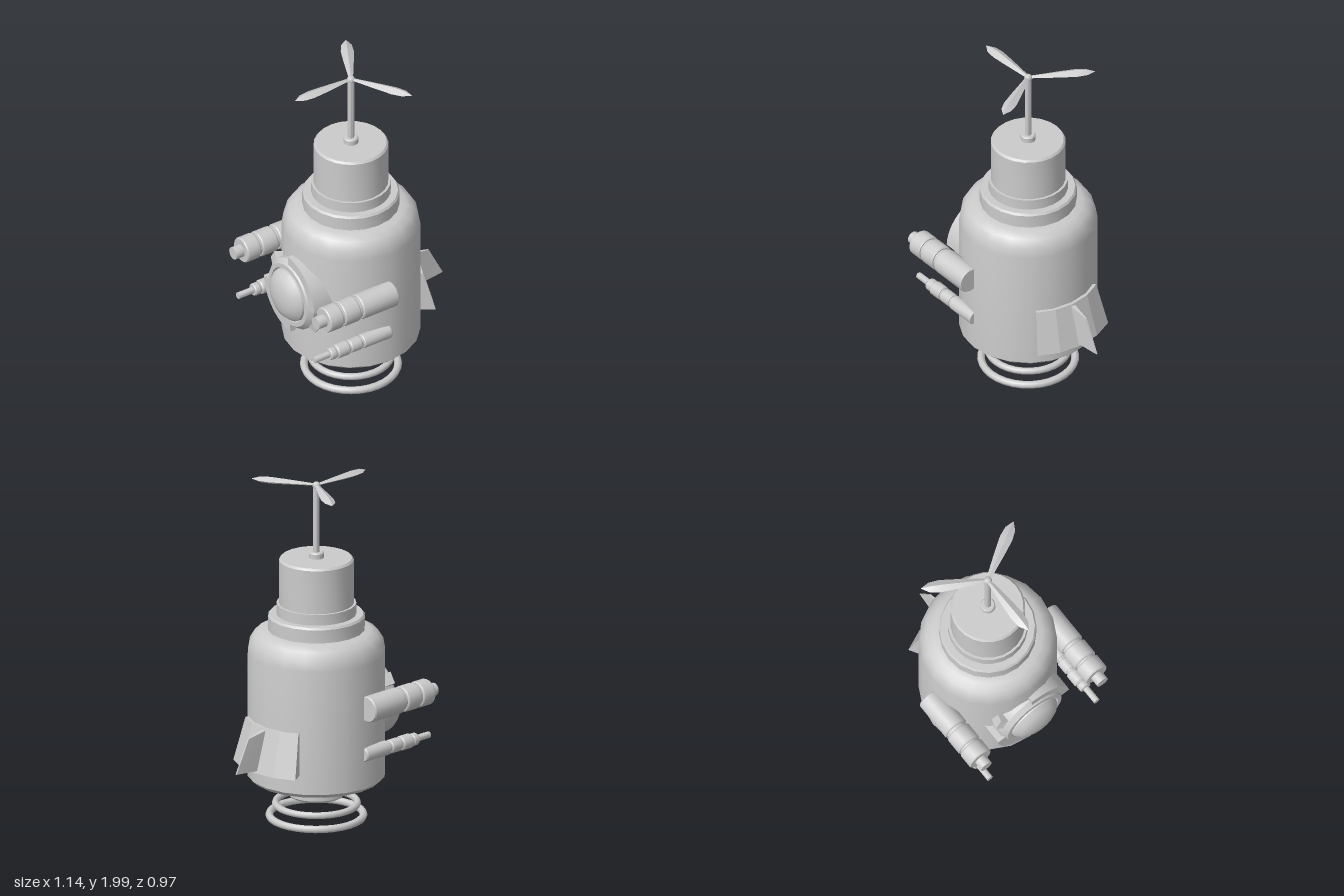
import * as THREE from 'three';
import { toCreasedNormals } from 'three/addons/utils/BufferGeometryUtils.js';

const grey = new THREE.MeshStandardMaterial({ color: 0xcccccc });
const AXIS = -0.05; // x of the vertical body axis

function part(parent, name, geometry, crease = 0.6) {
  const mesh = new THREE.Mesh(toCreasedNormals(geometry, crease), grey);
  mesh.name = name;
  parent.add(mesh);
  return mesh;
}

const lathe = (points, sides) =>
  new THREE.LatheGeometry(points.map(([r, y]) => new THREE.Vector2(r, y)), sides);

// Box whose unit coordinates (0..1) are remapped by a rule
function mappedBox(segments, rule) {
  const g = new THREE.BoxGeometry(1, 1, 1, segments, 1, 1);
  const p = g.attributes.position;
  for (let i = 0; i < p.count; i++) {
    p.setXYZ(i, ...rule(p.getX(i) + 0.5, p.getY(i) + 0.5, p.getZ(i) + 0.5));
  }
  return g;
}

// Lathe profile of a gun: muzzle bands given as [start, end, radius], with bevelled edges
function gunGeometry(bands, grooveRadius, tip) {
  const pts = [[0, 0]];
  for (const [a, b, r] of bands) {
    pts.push([grooveRadius, a], [r - 0.005, a], [r, a + 0.007], [r, b - 0.007], [r - 0.005, b], [grooveRadius, b]);
  }
  pts.push([tip[0], bands.at(-1)[1]], [tip[0], tip[1]], [0, tip[1]]);
  return lathe(pts, 16);
}

export function createModel() {
  const model = new THREE.Group();
  model.name = 'flyingCapsule';
  const tower = new THREE.Group();
  tower.name = 'tower';
  tower.position.x = AXIS;
  model.add(tower);

  // Main hull and stacked upper sections
  part(tower, 'hull', lathe([[0, 0.25], [0.36, 0.25], [0.388, 0.275], [0.388, 1.0], [0.378, 1.06],
    [0.35, 1.105], [0.31, 1.128], [0.26, 1.135], [0, 1.135]], 20));
  part(tower, 'collar', lathe([[0, 1.12], [0.273, 1.12], [0.273, 1.21], [0.264, 1.222], [0, 1.222]], 20));
  part(tower, 'headBase', lathe([[0, 1.21], [0.224, 1.21], [0.224, 1.285], [0, 1.285]], 24));
  part(tower, 'head', lathe([[0, 1.28], [0.21, 1.28], [0.21, 1.538], [0.2, 1.55], [0, 1.55]], 24));

  // Propeller mast and blades
  part(tower, 'mastSocket', lathe([[0, 1.54], [0.042, 1.54], [0.042, 1.578], [0.036, 1.585], [0, 1.585]], 16));
  part(tower, 'mast', new THREE.CylinderGeometry(0.019, 0.019, 0.4, 12)).position.y = 1.78;
  part(tower, 'propellerHub', new THREE.SphereGeometry(0.023, 12, 8)).position.y = 1.976;
  for (let i = 0; i < 3; i++) {
    const g = lathe([[0, 0], [0.013, 0.015], [0.03, 0.18], [0.037, 0.27], [0.03, 0.33], [0, 0.38]], 4);
    g.scale(1, 1, 0.55);
    g.rotateX(-Math.PI / 2);
    const blade = part(tower, 'propellerBlade', g);
    blade.position.y = 1.98;
    blade.rotation.y = Math.PI / 2 + (i * Math.PI * 2) / 3;
  }

  // Bottom nozzle and the two floating rings
  part(tower, 'nozzle', lathe([[0, 0.15], [0.155, 0.15], [0.164, 0.16], [0.164, 0.26], [0, 0.26]], 20));
  for (const [radius, tube, y] of [[0.23, 0.02, 0.1], [0.264, 0.022, 0.03]]) {
    const ring = part(tower, 'thrustRing', new THREE.TorusGeometry(radius, tube, 8, 32), 1);
    ring.rotation.x = Math.PI / 2;
    ring.position.y = y;
  }

  // Guns on both sides, muzzles toward -x
  const bigGun = gunGeometry([[0, 0.24, 0.075], [0.258, 0.362, 0.075], [0.375, 0.465, 0.075]], 0.063, [0.037, 0.52]);
  const smallGun = gunGeometry([[0, 0.19, 0.042], [0.2, 0.275, 0.04], [0.285, 0.365, 0.042], [0.37, 0.41, 0.036]],
    0.032, [0.019, 0.51]);
  for (const side of [-1, 1]) {
    for (const [name, g, y, z] of [['upperGun', bigGun, 0.75, 0.41], ['lowerGun', smallGun, 0.475, 0.377]]) {
      const gun = part(model, name, g);
      gun.rotation.z = Math.PI / 2;
      gun.position.set(AXIS, y, side * z);
    }
  }

  // Flared curved skirt and the tapering fin on the +x side
  part(model, 'finSkirt', mappedBox(4, (u, v, w) => {
    const angle = (u * 2 - 1) * 0.56;
    const radius = w < 0.5 ? 0.37 : 0.475 - 0.07 * v;
    return [AXIS + radius * Math.cos(angle), 0.385 + 0.25 * v, -radius * Math.sin(angle)];
  }), 0.2);
  part(model, 'fin', mappedBox(1, (u, v, w) => [
    0.3 + u * (0.27 - 0.095 * v),
    0.39 + 0.02 * u + v * (0.245 - 0.055 * u),
    (w - 0.5) * (0.036 - 0.028 * u),
  ]), 0.2);

  // Round hatch on the -x side; local +z points toward -x, local x toward +z
  const hatch = new THREE.Group();
  hatch.name = 'hatch';
  hatch.position.set(-0.33, 0.67, 0);
  hatch.rotation.y = -Math.PI / 2;
  model.add(hatch);
  const flange = lathe([[0, 0], [0.215, 0], [0.215, 0.12], [0.19, 0.15], [0.165, 0.15], [0.16, 0.135], [0, 0.135]], 24);
  flange.rotateX(Math.PI / 2);
  part(hatch, 'hatchFlange', flange);
  const dome = lathe([[0.158, 0.13], [0.155, 0.155], [0.125, 0.187], [0.085, 0.205], [0.04, 0.213], [0, 0.215]], 24);
  dome.rotateX(Math.PI / 2);
  part(hatch, 'hatchDome', dome);

  // Two opposite guard arcs and two opposite latches
  for (const turn of [0, Math.PI]) {
    const arc = new THREE.Shape();
    arc.absarc(0, 0, 0.25, 0.05, 1.62, false);
    arc.absarc(0, 0, 0.19, 1.62, 0.05, true);
    const guard = part(hatch, 'hatchGuard',
      new THREE.ExtrudeGeometry(arc, { depth: 0.14, bevelEnabled: false, curveSegments: 6 }), 0.3);
    guard.rotation.z = turn;

    const pivot = new THREE.Group();
    pivot.name = 'hatchLatchPivot';
    pivot.rotation.z = turn - 0.55;
    hatch.add(pivot);
    const latch = part(pivot, 'hatchLatch', new THREE.BoxGeometry(0.06, 0.07, 0.11));
    latch.position.set(0.21, 0, 0.06);
    latch.rotation.y = 0.35;
  }
  return model;
}
